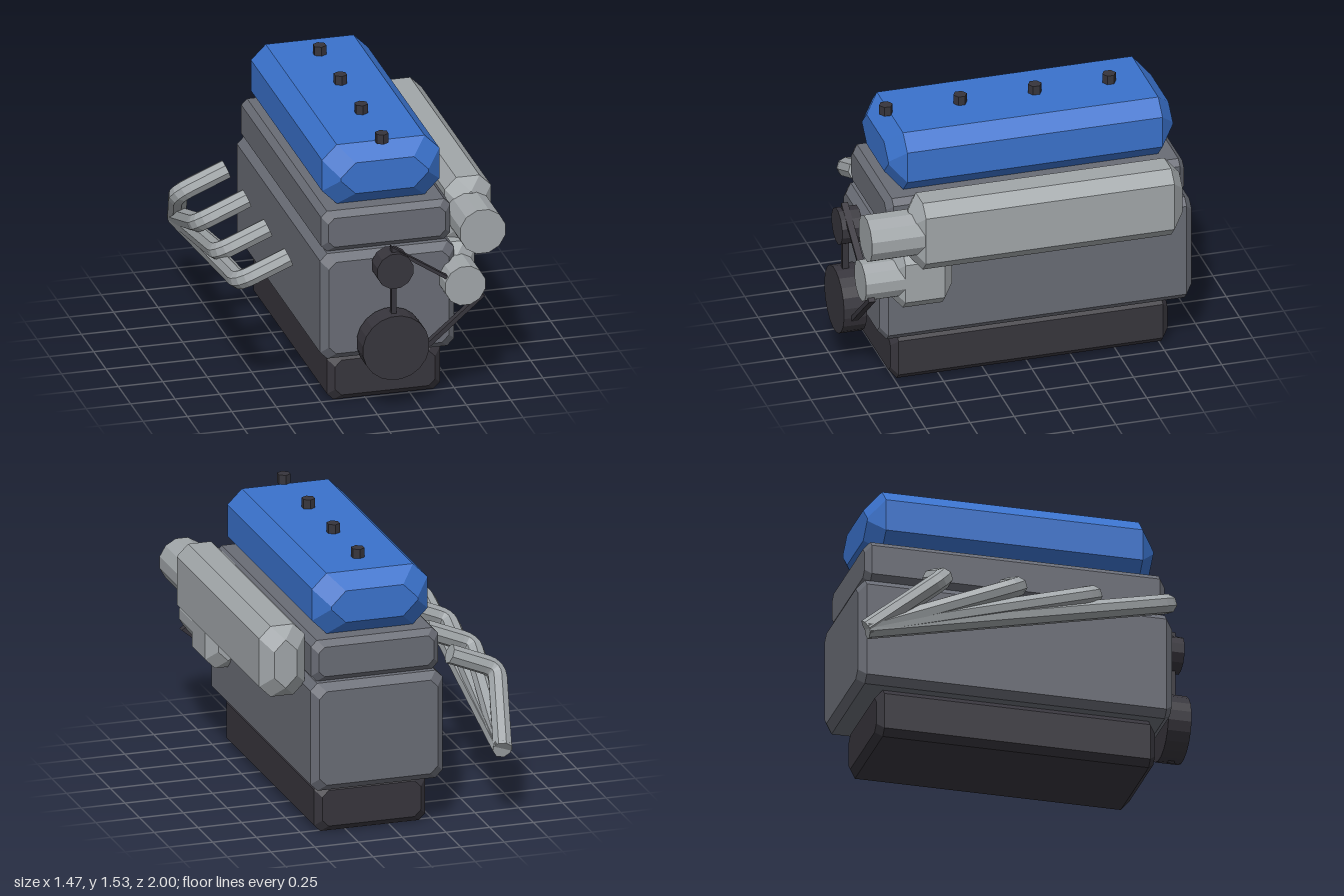
import * as THREE from 'three';
import { ConvexGeometry } from 'three/addons/geometries/ConvexGeometry.js';

const material = (name, color, extra = {}) =>
  Object.assign(new THREE.MeshStandardMaterial({ color, flatShading: true, ...extra }), { name });

// Curve that runs through its points exactly, one tube ring per point
class PolyPath extends THREE.Curve {
  constructor(points) {
    super();
    this.points = points;
  }
  getPoint(t, target = new THREE.Vector3()) {
    const n = this.points.length - 1;
    const i = Math.min(Math.floor(t * n + 1e-6), n - 1);
    return target.lerpVectors(this.points[i], this.points[i + 1], t * n - i);
  }
  getPointAt(t, target) {
    return this.getPoint(t, target);
  }
  getTangentAt(t, target = new THREE.Vector3()) {
    const n = this.points.length - 1;
    const i = Math.round(t * n);
    const p = this.points;
    target.set(0, 0, 0);
    if (i > 0) target.add(p[i].clone().sub(p[i - 1]).normalize());
    if (i < n) target.add(p[i + 1].clone().sub(p[i]).normalize());
    return target.normalize();
  }
}

// Chamfered casting: octagonal section with inset octagonal end faces
function casting([x0, x1], [y0, y1], [z0, z1], c) {
  const points = [];
  const ring = (inset, z) => {
    const a = x0 + inset, b = x1 - inset, d = y0 + inset, e = y1 - inset;
    for (const [x, s] of [[a, 1], [b, -1]]) {
      for (const [y, t] of [[d, 1], [e, -1]]) {
        points.push(new THREE.Vector3(x + s * c, y, z), new THREE.Vector3(x, y + t * c, z));
      }
    }
  };
  ring(c, z0);
  ring(0, z0 + c);
  ring(0, z1 - c);
  ring(c, z1);
  return new ConvexGeometry(points);
}

// Drum lying along z
function drum(x, y, z0, z1, r, sides) {
  return new THREE.CylinderGeometry(r, r, z1 - z0, sides)
    .rotateY(Math.PI / sides)
    .rotateX(Math.PI / 2)
    .translate(x, y, (z0 + z1) / 2);
}

export function createModel() {
  const blue = material('cover blue', 0x3a72cc);
  const iron = material('cast iron grey', 0x696c75);
  const alloy = material('light alloy grey', 0xa1a6a9);
  const dark = material('dark grey', 0x37353c);
  const pipeMetal = material('pipe grey', 0xa1a6a9, { side: THREE.DoubleSide });

  const model = new THREE.Group();
  model.name = 'engine';
  const add = (name, geometry, mat, parent = model) => {
    const mesh = new THREE.Mesh(geometry, mat);
    mesh.name = name;
    parent.add(mesh);
    return mesh;
  };

  // Main castings, from the bottom up
  add('oilPan', casting([-0.21, 0.425], [0, 0.277], [-0.8, 0.768], 0.036), dark);
  add('engineBlock', casting([-0.27, 0.485], [0.277, 0.895], [-0.92, 0.847], 0.04), iron);
  add('cylinderHead', casting([-0.255, 0.47], [0.895, 1.13], [-0.88, 0.807], 0.033), iron);
  add('valveCover', casting([-0.225, 0.435], [1.13, 1.477], [-0.842, 0.768], 0.083), blue);

  // Intake along the left side
  add('intakeManifold', casting([0.47, 0.73], [0.795, 1.2], [-0.803, 0.732], 0.0645), alloy);
  add('intakeInlet', drum(0.6, 0.998, 0.66, 0.972, 0.131, 12), alloy);

  // Alternator
  add('alternatorBody', casting([0.387, 0.615], [0.52, 0.86], [0.47, 0.805], 0.056), alloy);
  add('alternatorPulley', drum(0.502, 0.69, 0.75, 0.972, 0.116, 12), alloy);

  // Pulleys and drive belt
  add('crankPulley', drum(0.105, 0.38, 0.87, 1, 0.188, 20), dark);
  add('waterPumpPulley', drum(0.105, 0.825, 0.867, 0.985, 0.104, 12), dark);
  const v2 = (x, y) => new THREE.Vector2(x, y);
  const beltShape = new THREE.Shape([v2(0.09, 0.22), v2(0.117, 0.183), v2(0.617, 0.612), v2(0.093, 0.957)]);
  beltShape.holes.push(new THREE.Path([v2(0.12, 0.917), v2(0.58, 0.613), v2(0.12, 0.222)]));
  add('driveBelt',
    new THREE.ExtrudeGeometry(beltShape, { depth: 0.037, bevelEnabled: false }).translate(0, 0, 0.92), dark);

  // Cover bolts and exhaust runners, one per cylinder
  const outlet = new THREE.Vector3(-0.585, 0.432, -0.965);
  for (const z of [0.708, 0.288, -0.135, -0.555]) {
    add('coverBolt', new THREE.CylinderGeometry(0.038, 0.038, 0.055, 6).translate(0.105, 1.502, z), dark);

    const start = new THREE.Vector3(-0.42, 0.858, z);
    const corner = new THREE.Vector3(-0.692, 0.745, z);
    const into = corner.clone().add(start.clone().sub(corner).setLength(0.075));
    const out = corner.clone().add(outlet.clone().sub(corner).setLength(0.075));
    const bend = new THREE.QuadraticBezierCurve3(into, corner, out).getPoints(4);
    const path = new PolyPath([start, ...bend, outlet]);

    const runner = new THREE.Group();
    runner.name = 'exhaustRunner';
    model.add(runner);
    add('pipe', new THREE.TubeGeometry(path, path.points.length - 1, 0.055, 8), pipeMetal, runner);
    // End caps, facing along the pipe
    const frames = path.computeFrenetFrames(path.points.length - 1);
    for (const [i, point] of [[0, start], [path.points.length - 1, outlet]]) {
      const cap = add('pipeEnd', new THREE.CircleGeometry(0.055, 8), pipeMetal, runner);
      cap.quaternion.setFromRotationMatrix(
        new THREE.Matrix4().makeBasis(frames.normals[i], frames.binormals[i], frames.tangents[i]));
      cap.position.copy(point);
    }
  }
  return model;
}
